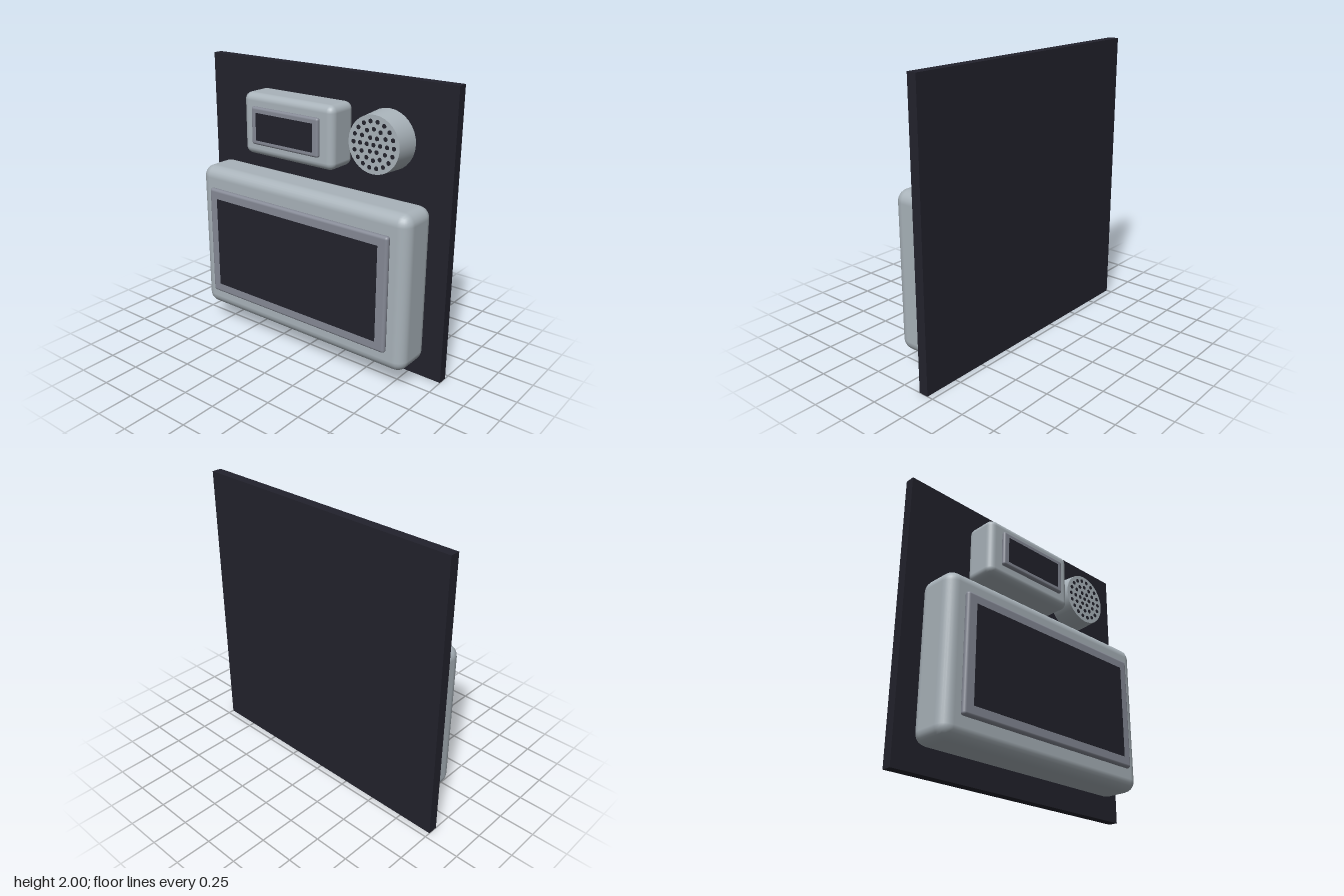
import * as THREE from 'three';
import { RoundedBoxGeometry } from 'three/addons/geometries/RoundedBoxGeometry.js';

const material = (name, color) => {
  const m = new THREE.MeshStandardMaterial({ color });
  m.name = name;
  return m;
};

export function createModel() {
  const dark = material('dark panel', 0x22222c);
  const shell = material('pale grey shell', 0xa9b3ba);
  const trim = material('grey trim', 0x868a96);
  const model = new THREE.Group();
  model.name = 'wallPanel';

  const add = (parent, name, geometry, mat, x = 0, y = 0, z = 0) => {
    const mesh = new THREE.Mesh(geometry, mat);
    mesh.name = name;
    mesh.position.set(x, y, z);
    parent.add(mesh);
    return mesh;
  };

  // Box from its limits; a radius rounds all edges
  const block = (parent, name, mat, [x0, x1], [y0, y1], [z0, z1], radius = 0) => {
    const size = [x1 - x0, y1 - y0, z1 - z0];
    const geometry = radius
      ? new RoundedBoxGeometry(...size, 3, radius)
      : new THREE.BoxGeometry(...size);
    return add(parent, name, geometry, mat, (x0 + x1) / 2, (y0 + y1) / 2, (z0 + z1) / 2);
  };

  block(model, 'backPanel', dark, [-1, 1], [0, 2], [-0.207, -0.138]);

  // Large display: housing, bezel and thin screen
  const large = new THREE.Group();
  large.name = 'largeDisplay';
  block(large, 'housing', shell, [-0.88, 0.88], [0.147, 1.24], [-0.138, 0.167], 0.08);
  block(large, 'bezel', trim, [-0.762, 0.762], [0.29, 1.098], [0.163, 0.205], 0.02);
  block(large, 'screen', dark, [-0.69, 0.69], [0.36, 1.028], [0.2, 0.207]);

  // Small display
  const small = new THREE.Group();
  small.name = 'smallDisplay';
  block(small, 'housing', shell, [-0.503, 0.257], [1.385, 1.813], [-0.138, 0.1], 0.05);
  block(small, 'bezel', trim, [-0.405, 0.163], [1.47, 1.73], [0.097, 0.131], 0.016);
  block(small, 'screen', dark, [-0.362, 0.12], [1.502, 1.692], [0.126, 0.133]);

  // Tapered round speaker with rings of holes
  const speaker = new THREE.Group();
  speaker.name = 'speaker';
  speaker.position.set(0.523, 1.6, 0);
  const body = new THREE.CylinderGeometry(0.19, 0.202, 0.168, 32).rotateX(Math.PI / 2);
  add(speaker, 'speakerBody', body, shell, 0, 0, -0.054);
  const hole = new THREE.CylinderGeometry(0.0145, 0.0145, 0.004, 12).rotateX(Math.PI / 2);
  for (let ring = 0; ring < 4; ring++) {
    const count = Math.max(1, ring * 6);
    for (let i = 0; i < count; i++) {
      const a = (i / count) * Math.PI * 2;
      add(speaker, 'speakerHole', hole, dark, Math.cos(a) * ring * 0.05, Math.sin(a) * ring * 0.05, 0.031);
    }
  }

  model.add(large, small, speaker);
  return model;
}
